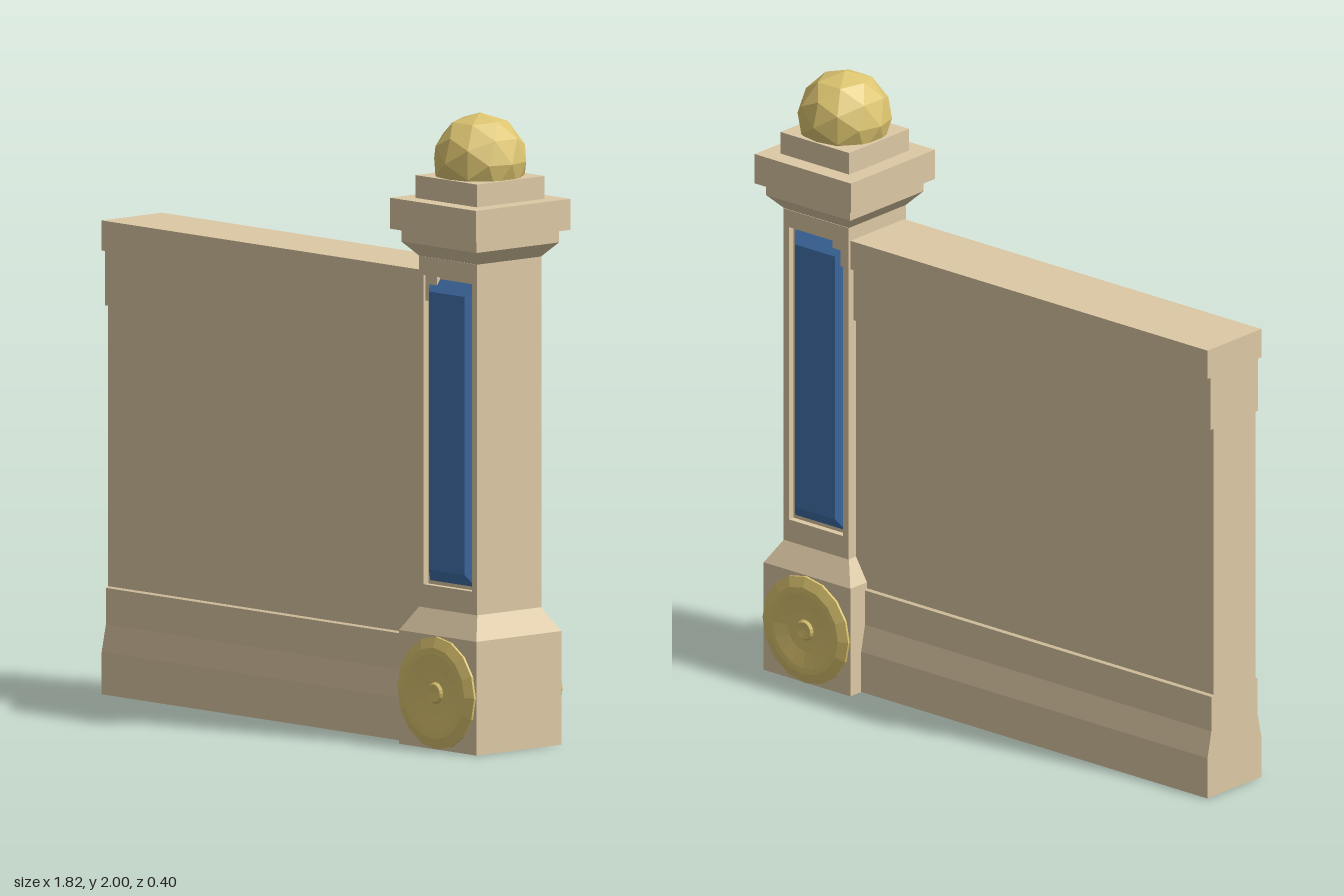
import * as THREE from 'three';

const mat = (color) => new THREE.MeshStandardMaterial({ color, flatShading: true });

export function createModel() {
  const stone = mat(0xdcc8a4), gold = mat(0xdcc470), blue = mat(0x4272ae);
  const model = new THREE.Group();
  const postX = 0.71;

  const add = (parent, name, geometry, material) => {
    const mesh = new THREE.Mesh(geometry, material);
    mesh.name = name;
    parent.add(mesh);
    return mesh;
  };
  // Square stack of moulding: pairs of [half width, height], bottom to top
  const squareLathe = (profile) => new THREE.LatheGeometry(
    profile.map(([h, y]) => new THREE.Vector2(h * Math.SQRT2, y)), 4, Math.PI / 4);

  // Wall: mirrored moulded section, extruded along x
  const half = [[0.128, 0], [0.128, 0.135], [0.11, 0.22], [0.11, 0.335], [0.101, 0.34],
    [0.101, 1.23], [0.113, 1.23], [0.113, 1.405], [0.128, 1.405], [0.128, 1.5]];
  const section = [...half, ...half.slice().reverse().map(([z, y]) => [-z, y])];
  const wallGeo = new THREE.ExtrudeGeometry(
    new THREE.Shape(section.map(([z, y]) => new THREE.Vector2(z, y))),
    { depth: 1.56, bevelEnabled: false });
  wallGeo.rotateY(Math.PI / 2).translate(-0.91, 0, 0);
  add(model, 'wall', wallGeo, stone);

  // Post: plinth, shaft core and capital
  const post = new THREE.Group();
  post.name = 'post';
  post.position.x = postX;
  model.add(post);
  add(post, 'plinth', squareLathe(
    [[0, 0], [0.18, 0], [0.18, 0.36], [0.135, 0.435], [0, 0.435]]), stone);
  add(post, 'shaftCore', new THREE.BoxGeometry(0.27, 1.11, 0.23).translate(0, 0.99, 0), stone);
  add(post, 'capital', squareLathe(
    [[0, 1.545], [0.135, 1.545], [0.175, 1.59], [0.175, 1.63], [0.2, 1.63], [0.2, 1.728],
      [0.143, 1.728], [0.143, 1.8], [0, 1.8]]), stone);
  add(post, 'ballFinial', new THREE.IcosahedronGeometry(0.15, 1).translate(0, 1.85, 0), gold);

  // Face pieces, shared by front and back
  const rect = (Type, hw, y0, y1) => new Type([[-hw, y0], [hw, y0], [hw, y1], [-hw, y1]]
    .map(([x, y]) => new THREE.Vector2(x, y)));
  const frameShape = rect(THREE.Shape, 0.135, 0.435, 1.545);
  frameShape.holes.push(rect(THREE.Path, 0.113, 0.508, 1.487));
  const frameGeo = new THREE.ExtrudeGeometry(frameShape, { depth: 0.022, bevelEnabled: false });
  frameGeo.translate(0, 0, 0.115);

  // Raised panel: box whose front face is drawn in to form sloping edges
  const panelGeo = new THREE.BoxGeometry(0.216, 0.966, 0.03);
  const p = panelGeo.attributes.position;
  for (let i = 0; i < p.count; i++) {
    if (p.getZ(i) > 0) p.setXY(i, Math.sign(p.getX(i)) * 0.083, Math.sign(p.getY(i)) * 0.44);
  }
  panelGeo.translate(0, 0.998, 0.127);

  // Dished rosette with a small boss
  const rosetteGeo = new THREE.LatheGeometry(
    [[0.178, 0.175], [0.178, 0.188], [0.145, 0.2], [0.125, 0.2], [0.07, 0.191],
      [0.035, 0.189], [0.028, 0.197], [0, 0.193]]
      .map(([r, z]) => new THREE.Vector2(r, z)), 16);
  rosetteGeo.rotateX(Math.PI / 2).translate(0, 0.18, 0);

  ['front', 'back'].forEach((side, i) => {
    const face = new THREE.Group();
    face.name = side + 'Face';
    face.rotation.y = i * Math.PI;
    add(face, side + 'PanelFrame', frameGeo, stone);
    add(face, side + 'Panel', panelGeo, blue);
    add(face, side + 'Rosette', rosetteGeo, gold);
    post.add(face);
  });

  return model;
}
